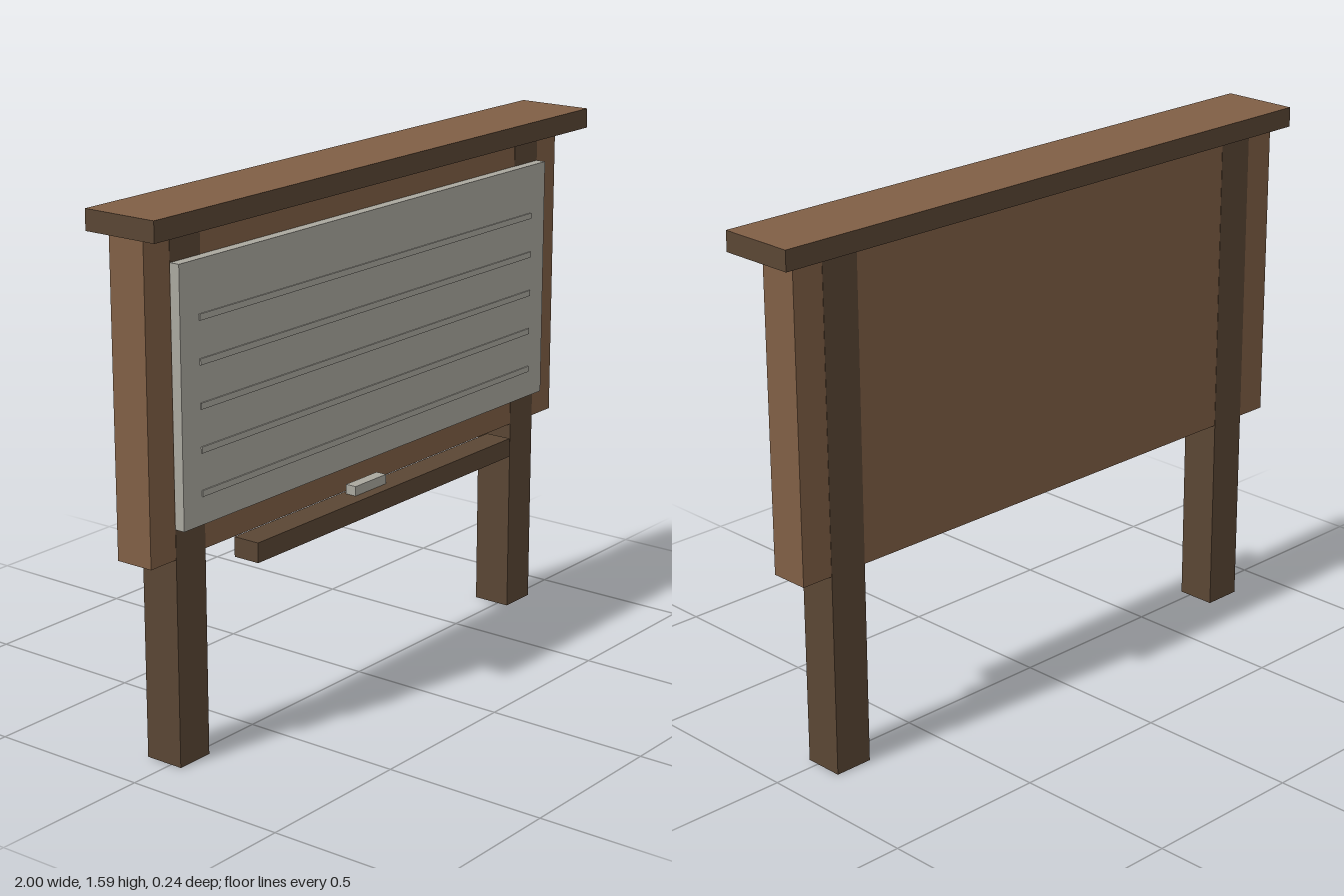
import * as THREE from 'three';

function material(name, color) {
  const m = new THREE.MeshStandardMaterial({ color, side: THREE.DoubleSide });
  m.name = name;
  return m;
}

// Box given by its limits on each axis; an open box has no underside.
function box(name, [x0, x1], [y0, y1], [z0, z1], mat, open = false) {
  const geometry = new THREE.BoxGeometry(x1 - x0, y1 - y0, z1 - z0);
  if (open) {
    // Faces are stored as +x, -x, +y, -y, +z, -z, six indices each.
    const index = Array.from(geometry.index.array);
    index.splice(18, 6);
    geometry.setIndex(index);
    geometry.clearGroups();
    [0, 1, 2, 4, 5].forEach((side, i) => geometry.addGroup(i * 6, 6, side));
  }
  geometry.translate((x0 + x1) / 2, (y0 + y1) / 2, (z0 + z1) / 2);
  const mesh = new THREE.Mesh(geometry, mat);
  mesh.name = name;
  return mesh;
}

export function createModel() {
  const brown = material('brown wood', 0x805f45);
  const dark = material('dark wood', 0x5a4634);
  const grey = material('pale grey', 0xaaa89f);

  const model = new THREE.Group();
  model.name = 'noticeBoard';

  // Posts, a hair proud of the board so that they show on both faces
  for (const side of [-1, 1]) {
    const x = side * 0.79;
    const name = side > 0 ? 'leftPost' : 'rightPost';
    model.add(box(name, [x - 0.06, x + 0.06], [0, 1.53], [-0.086, 0.036], dark, true));
  }

  // Main board
  model.add(box('board', [-0.95, 0.95], [0.613, 1.53], [-0.085, 0.035], brown, true));

  // Roof cap: lighter top, dark rim
  const capFaces = [dark, dark, brown, dark, dark, dark];
  model.add(box('roofCap', [-1, 1], [1.53, 1.59], [-0.12, 0.12], capFaces, true));

  // Writing panel with raised lines
  model.add(box('panel', [-0.85, 0.85], [0.7, 1.44], [0.035, 0.067], grey));
  for (let i = 0; i < 5; i++) {
    const y = 0.79 + i * 0.123;
    model.add(box('panelLine', [-0.775, 0.775], [y - 0.009, y + 0.009], [0.066, 0.071], grey));
  }

  // Tray and the small block resting on it
  model.add(box('tray', [-0.607, 0.607], [0.553, 0.612], [0.035, 0.12], dark, true));
  model.add(box('eraser', [-0.125, 0.02], [0.612, 0.641], [0.05, 0.085], grey));

  return model;
}
